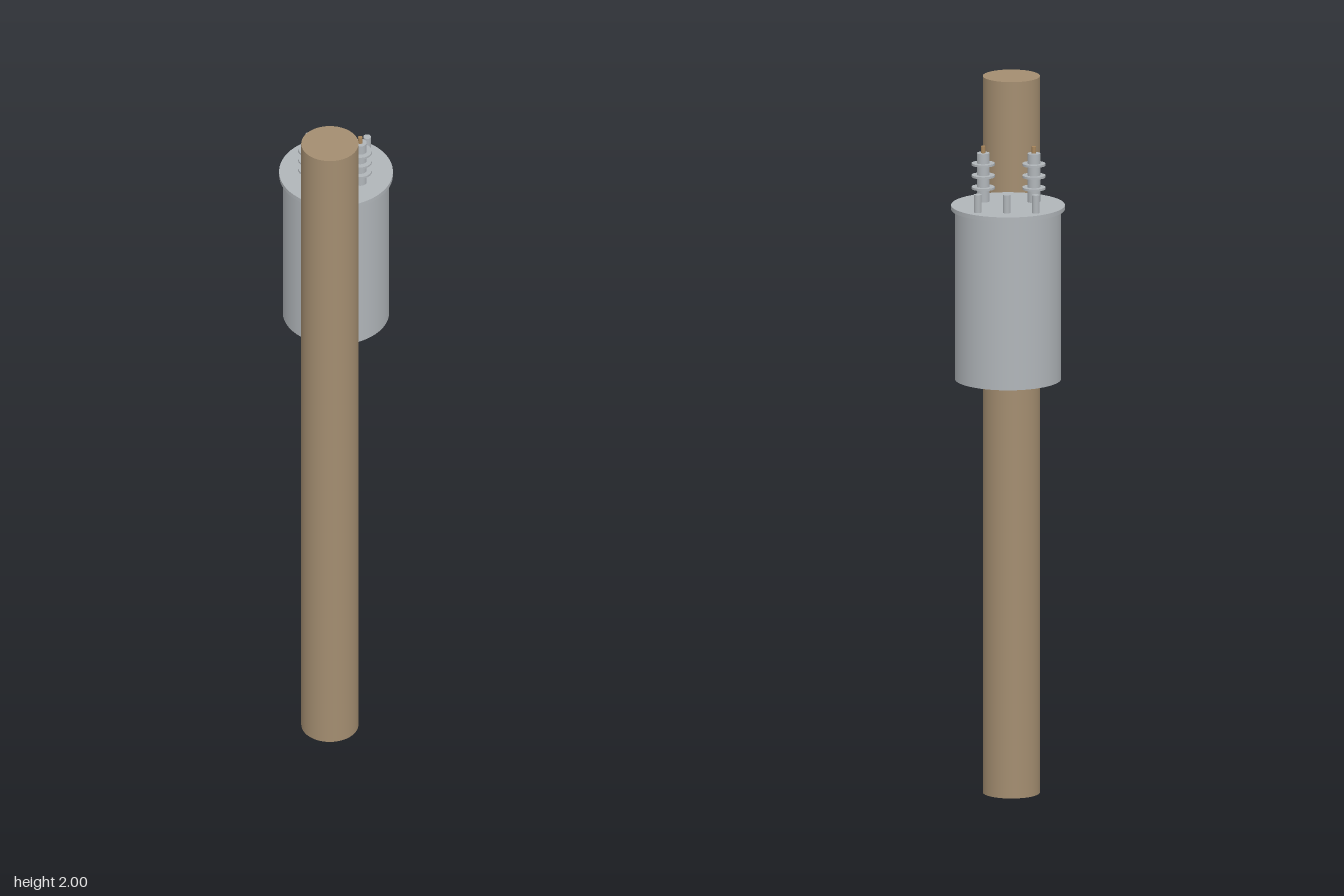
import * as THREE from 'three';

export function createModel() {
  const model = new THREE.Group();
  model.name = 'poleTransformer';

  const material = (name, color) => {
    const m = new THREE.MeshStandardMaterial({ color });
    m.name = name;
    return m;
  };
  const wood = material('weathered wood', 0xa38d70);
  const steel = material('grey steel', 0xb0b5b9);
  const brass = material('terminal brass', 0xa8865c);

  // Upright cylinder standing between two heights
  const post = (name, mat, radius, bottom, top, x, z, parent = model, sides = 32) => {
    const mesh = new THREE.Mesh(new THREE.CylinderGeometry(radius, radius, top - bottom, sides), mat);
    mesh.name = name;
    mesh.position.set(x, (bottom + top) / 2, z);
    parent.add(mesh);
    return mesh;
  };

  const tankZ = -0.095;

  // Pole, tank and overhanging lid
  post('pole', wood, 0.078, 0, 2, 0, 0.169, model, 64);
  post('tank', steel, 0.145, 1.215, 1.69, 0, tankZ, model, 64);
  post('lid', steel, 0.155, 1.688, 1.7, 0, tankZ, model, 64);

  // Mounting bracket between tank and pole
  const bracket = new THREE.Mesh(new THREE.BoxGeometry(0.106, 0.264, 0.076), steel);
  bracket.name = 'mountingBracket';
  bracket.position.set(0, 1.45, 0.066);
  model.add(bracket);

  // High-voltage bushings: core, three sheds and a terminal each
  for (const side of [-1, 1]) {
    const bushing = new THREE.Group();
    bushing.name = side > 0 ? 'leftBushing' : 'rightBushing';
    bushing.position.set(side * 0.069, 0, -0.053);
    post('bushingCore', steel, 0.0175, 1.7, 1.835, 0, 0, bushing);
    for (const y of [1.738, 1.771, 1.804]) {
      post('bushingShed', steel, 0.0315, y - 0.003, y + 0.003, 0, 0, bushing);
    }
    post('terminal', brass, 0.006, 1.835, 1.854, 0, 0, bushing, 16);
    model.add(bushing);
  }

  // Low-voltage studs along the back of the lid
  for (const x of [-0.079, 0, 0.079]) {
    post('lowVoltageStud', steel, 0.0105, 1.7, 1.75, x, -0.19, model, 24);
  }

  return model;
}
